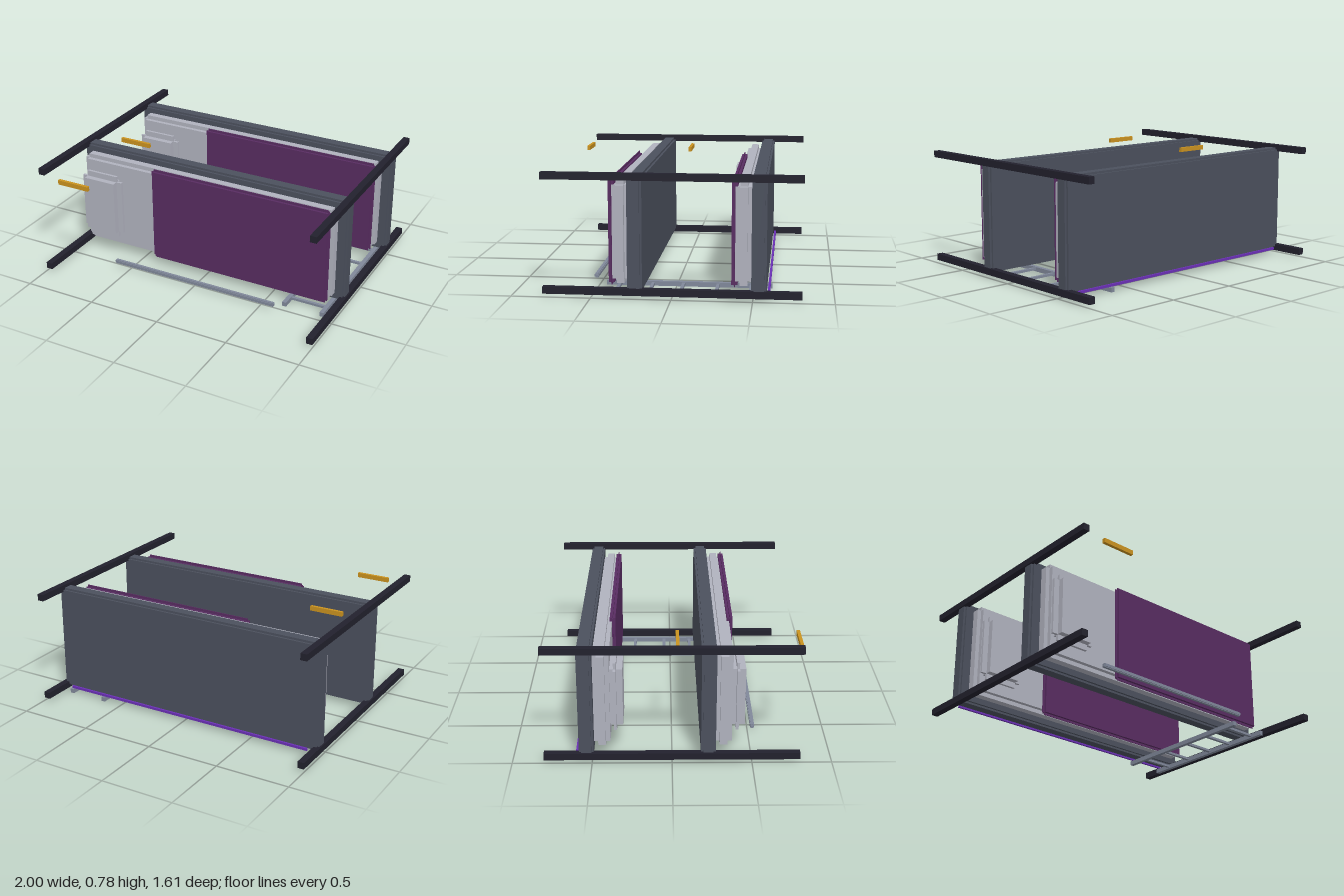
import * as THREE from 'three';
import { mergeGeometries } from 'three/addons/utils/BufferGeometryUtils.js';

const mat = (name, color) => {
  const m = new THREE.MeshStandardMaterial({ color });
  m.name = name;
  return m;
};

// Box given by its min/max corners
function box(x0, x1, y0, y1, z0, z1) {
  return new THREE.BoxGeometry(x1 - x0, y1 - y0, z1 - z0)
    .translate((x0 + x1) / 2, (y0 + y1) / 2, (z0 + z1) / 2);
}

// Block with stepped edges: three crossed boxes, each inset by r on two axes
function stepped(x0, x1, y0, y1, z0, z1, r) {
  return mergeGeometries([
    box(x0, x1, y0 + r, y1 - r, z0 + r, z1 - r),
    box(x0 + r, x1 - r, y0, y1, z0 + r, z1 - r),
    box(x0 + r, x1 - r, y0 + r, y1 - r, z0, z1),
  ]);
}

export function createModel() {
  const postMat = mat('post black', 0x22212d);
  const frameMat = mat('frame slate', 0x4b505d);
  const linenMat = mat('linen grey', 0xb0b2be);
  const blanketMat = mat('blanket purple', 0x582c61);
  const metalMat = mat('rail steel', 0x80889a);
  const lampMat = mat('lamp amber', 0xca921f);
  const stripMat = mat('light strip violet', 0x6a2fb5);

  const model = new THREE.Group();
  model.name = 'bunkBed';
  const add = (parent, name, geometry, material) => {
    const mesh = new THREE.Mesh(geometry, material);
    mesh.name = name;
    parent.add(mesh);
  };

  // Corner posts, running along z because the bed lies on its side
  for (const x of [-0.978, 0.978])
    for (const y of [0.043, 0.76])
      add(model, 'cornerPost', box(x - 0.022, x + 0.022, y - 0.022, y + 0.022, -0.802, 0.802), postMat);

  // Two identical bunks: frame, mattress, pillow, blanket and reading lamp
  for (const [name, z] of [['upperBunk', 0], ['lowerBunk', -0.764]]) {
    const bunk = new THREE.Group();
    bunk.name = name;
    bunk.position.z = z;
    add(bunk, 'frame', stepped(-0.99, 0.99, 0.036, 0.762, 0.181, 0.274, 0.014), frameMat);
    add(bunk, 'mattress', stepped(-0.935, 0.932, 0.077, 0.725, 0.272, 0.377, 0.028), linenMat);
    add(bunk, 'pillow', stepped(-0.92, -0.61, 0.17, 0.63, 0.362, 0.458, 0.039), linenMat);
    add(bunk, 'blanket', stepped(-0.385, 0.915, 0.065, 0.737, 0.363, 0.4, 0.016), blanketMat);
    add(bunk, 'readingLamp', box(-0.84, -0.61, 0.704, 0.735, 0.79, 0.811), lampMat);
    model.add(bunk);
  }

  // Guard rail beside the upper bunk
  add(model, 'guardRail', stepped(-0.607, 0.607, 0.031, 0.058, 0.516, 0.544, 0.005), metalMat);

  // Ladder: two rails and evenly spaced rungs
  const ladder = new THREE.Group();
  ladder.name = 'ladder';
  for (const x of [0.643, 0.909])
    add(ladder, 'ladderRail', box(x - 0.014, x + 0.014, 0, 0.03, -0.613, 0.453), metalMat);
  for (const z of [-0.48, -0.267, -0.045, 0.15, 0.36])
    add(ladder, 'ladderRung', box(0.65, 0.9, 0.009, 0.025, z - 0.01, z + 0.01), metalMat);
  model.add(ladder);

  // Light strip under the lower bunk
  add(model, 'lightStrip', box(-0.92, 0.913, 0.034, 0.05, -0.604, -0.59), stripMat);

  return model;
}
